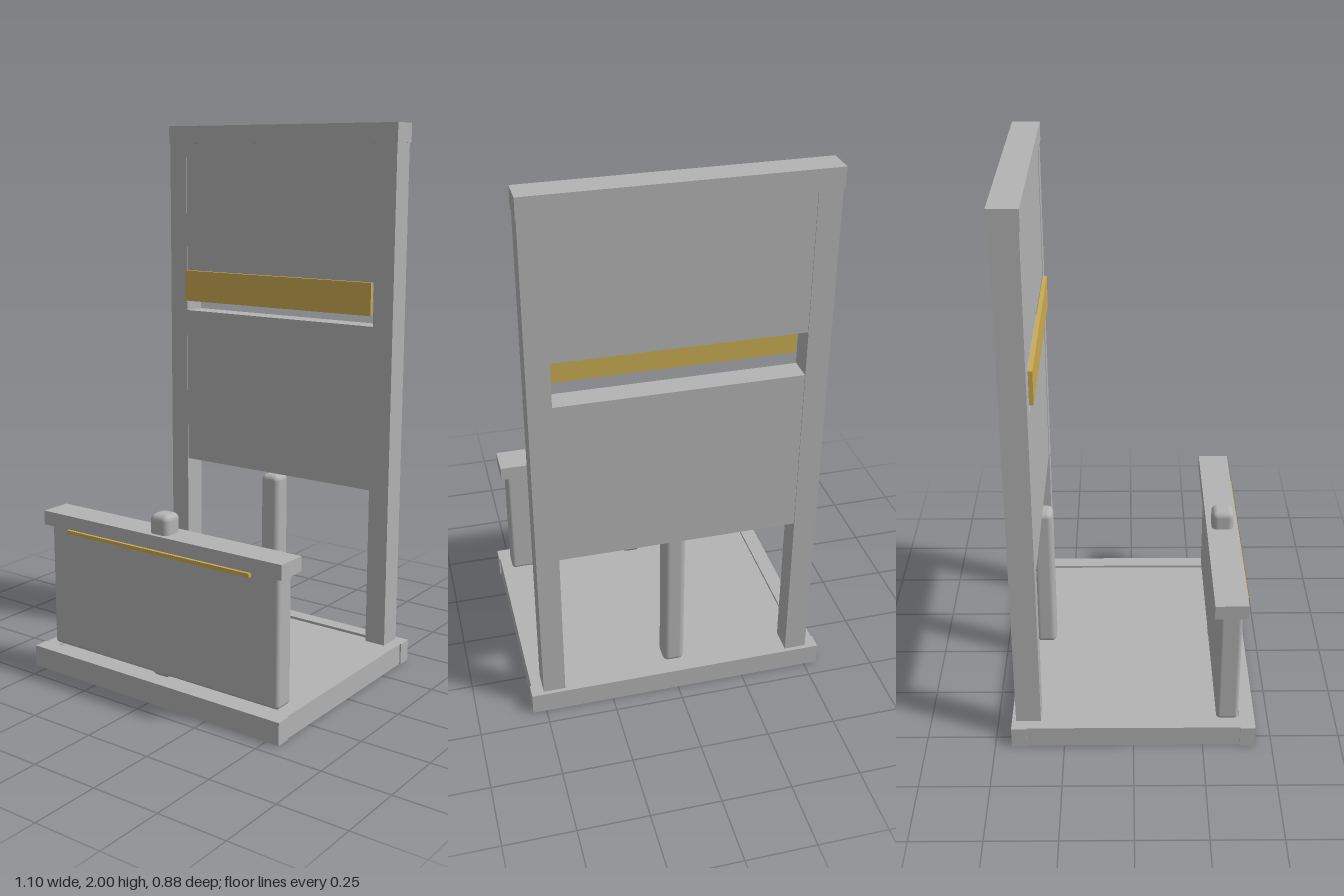
import * as THREE from 'three';
import { RoundedBoxGeometry } from 'three/addons/geometries/RoundedBoxGeometry.js';

export function createModel() {
  const model = new THREE.Group();
  model.name = 'panelStand';
  const grey = new THREE.MeshStandardMaterial({ color: 0xb3b3b3 });
  grey.name = 'grey';
  const gold = new THREE.MeshStandardMaterial({ color: 0xc9ab52 });
  gold.name = 'gold';

  // Box given by its limits on each axis; a radius rounds its edges
  function block(name, [x0, x1], [y0, y1], [z0, z1], material = grey, radius = 0) {
    const size = [x1 - x0, y1 - y0, z1 - z0];
    const geometry = radius
      ? new RoundedBoxGeometry(...size, 4, radius)
      : new THREE.BoxGeometry(...size);
    const mesh = new THREE.Mesh(geometry, material);
    mesh.name = name;
    mesh.position.set((x0 + x1) / 2, (y0 + y1) / 2, (z0 + z1) / 2);
    model.add(mesh);
  }

  // Base: a recessed floor inside four rails
  block('floor', [-0.49, 0.49], [0.005, 0.07], [-0.39, 0.39]);
  block('frontRail', [-0.55, 0.55], [0, 0.08], [0.385, 0.44]);
  block('backRail', [-0.55, 0.55], [0, 0.08], [-0.44, -0.385]);
  block('leftRail', [0.487, 0.545], [0, 0.08], [-0.385, 0.385]);
  block('rightRail', [-0.545, -0.487], [0, 0.08], [-0.385, 0.385]);

  // Tall back frame
  block('leftUpright', [0.425, 0.505], [0.08, 1.935], [-0.425, -0.335]);
  block('rightUpright', [-0.505, -0.425], [0.08, 1.935], [-0.425, -0.335]);
  block('topCap', [-0.508, 0.508], [1.932, 2], [-0.432, -0.332]);

  // Back panels, with an open slot between them
  block('upperPanel', [-0.425, 0.425], [1.44, 1.935], [-0.422, -0.337]);
  block('lowerPanel', [-0.425, 0.425], [0.67, 1.28], [-0.422, -0.337]);
  block('goldBar', [-0.422, 0.422], [1.32, 1.44], [-0.335, -0.32], gold);

  // Rounded posts at the back and front
  for (const [name, z] of [['backPost', -0.34], ['frontPost', 0.34]]) {
    block(name, [-0.04, 0.04], [0.075, 0.67], [z - 0.041, z + 0.041], grey, 0.022);
  }

  // Low front panel with its cap and gold trim
  block('frontPanel', [-0.505, 0.505], [0.085, 0.56], [0.3, 0.38], grey, 0.014);
  block('frontCap', [-0.527, 0.527], [0.547, 0.6], [0.28, 0.397]);
  block('goldTrim', [-0.405, 0.405], [0.535, 0.549], [0.395, 0.408], gold);

  return model;
}
